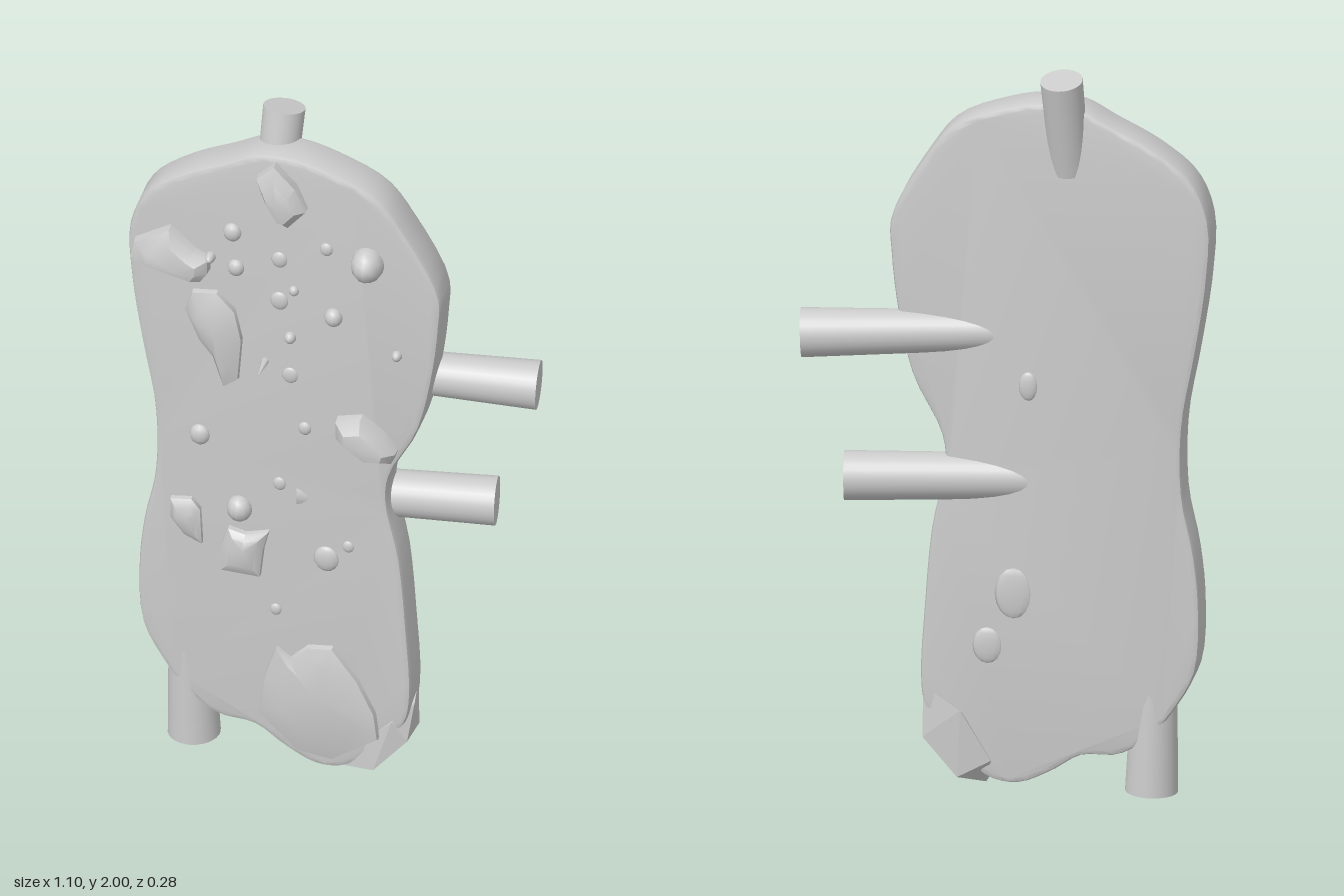
import * as THREE from 'three';
import { toCreasedNormals } from 'three/addons/utils/BufferGeometryUtils.js';
import { ConvexGeometry } from 'three/addons/geometries/ConvexGeometry.js';

const V = (x, y, z) => new THREE.Vector3(x, y, z);
const grey = new THREE.MeshStandardMaterial({ color: 0xcccccc });
// the slab is slightly turned: its faces lean in z along x
const midZ = x => 0.065 * x - 0.005;
const HALF = 0.06;
const frontZ = x => midZ(x) + HALF;

const outline = [
  [-0.2, 1.91], [-0.1, 1.92], [0, 1.9], [0.14, 1.84], [0.22, 1.74], [0.31, 1.57], [0.31, 1.47],
  [0.29, 1.3], [0.25, 1.13], [0.175, 0.98], [0.165, 0.89], [0.2, 0.72], [0.22, 0.5], [0.23, 0.27],
  [0.21, 0.19], [0.13, 0.1], [0.05, 0.03], [-0.03, 0.02], [-0.12, 0.06], [-0.2, 0.11], [-0.3, 0.12],
  [-0.39, 0.18], [-0.46, 0.27], [-0.51, 0.37], [-0.52, 0.55], [-0.505, 0.7], [-0.475, 0.85],
  [-0.475, 1.05], [-0.51, 1.25], [-0.54, 1.45], [-0.545, 1.62], [-0.5, 1.73], [-0.4, 1.81], [-0.28, 1.87],
];

function makeSlab() {
  const curve = new THREE.CatmullRomCurve3(outline.map(([x, y]) => V(x, y, 0)), true);
  const pts = curve.getPoints(120).slice(0, -1).map(p => new THREE.Vector2(p.x, p.y));
  const bevel = 0.014;
  const g = new THREE.ExtrudeGeometry(new THREE.Shape(pts), {
    depth: 2 * (HALF - bevel), bevelThickness: bevel, bevelSize: bevel, bevelOffset: -bevel, bevelSegments: 2,
  });
  g.translate(0, 0, bevel - HALF);
  const p = g.attributes.position;
  for (let i = 0; i < p.count; i++) p.setZ(i, p.getZ(i) + midZ(p.getX(i)));
  return toCreasedNormals(g, 0.6);
}

// round stub between two points
function stub(a, b, r0, r1) {
  const dir = b.clone().sub(a);
  const g = new THREE.CylinderGeometry(r1, r0, dir.length(), 28);
  g.applyQuaternion(new THREE.Quaternion().setFromUnitVectors(V(0, 1, 0), dir.normalize()));
  return g.translate((a.x + b.x) / 2, (a.y + b.y) / 2, (a.z + b.z) / 2);
}

// chip lying on the front: outline ring, shoulder ring and raised peak
function chip(points, h, peakX = 0, peakY = 0) {
  const cx = points.reduce((s, p) => s + p[0], 0) / points.length;
  const cy = points.reduce((s, p) => s + p[1], 0) / points.length;
  const n = points.length, pos = [], index = [];
  [[1, -0.015], [0.96, h * 0.45], [0.62, h * 0.9]].forEach(([k, z]) => points.forEach(([x, y]) => {
    const px = cx + (x - cx) * k + peakX * (1 - k), py = cy + (y - cy) * k + peakY * (1 - k);
    pos.push(px, py, frontZ(px) + z);
  }));
  pos.push(cx + peakX, cy + peakY, frontZ(cx + peakX) + h);
  for (let i = 0; i < n; i++) {
    const j = (i + 1) % n;
    for (const r of [0, n]) index.push(r + i, r + j, r + n + j, r + i, r + n + j, r + n + i);
    index.push(2 * n + i, 2 * n + j, 3 * n);
  }
  const g = new THREE.BufferGeometry();
  g.setAttribute('position', new THREE.Float32BufferAttribute(pos, 3));
  g.setIndex(index);
  return toCreasedNormals(g, 0.7);
}

export function createModel() {
  const model = new THREE.Group();
  const add = (name, geometry) => {
    const m = new THREE.Mesh(geometry, grey);
    m.name = name;
    model.add(m);
    return m;
  };

  add('slab', makeSlab());

  // stubs: two side ones sink at a slant into the back
  add('topStub', stub(V(-0.165, 1.73, -0.03), V(-0.152, 1.995, -0.088), 0.052, 0.056));
  add('upperSideStub', stub(V(-0.06, 1.265, 0.0), V(0.545, 1.245, -0.066), 0.05, 0.066));
  add('lowerSideStub', stub(V(-0.09, 0.86, -0.004), V(0.43, 0.855, -0.071), 0.06, 0.066));
  add('bottomStub', stub(V(-0.39, 0.3, -0.03), V(-0.383, 0.012, -0.035), 0.06, 0.07));

  // broken lump on the lower corner
  add('cornerLump', new ConvexGeometry([
    V(0.04, 0.03, 0.05), V(0.06, 0.005, -0.02), V(0.13, 0.04, 0.07), V(0.13, 0.03, -0.07), V(0.22, 0.14, 0.06),
    V(0.225, 0.13, -0.05), V(0.235, 0.25, 0.04), V(0.225, 0.27, -0.04), V(0.12, 0.22, -0.08), V(0.1, 0.12, 0.06),
    V(0.04, 0.08, -0.07), V(0.18, 0.2, 0.07),
  ]));

  // chips, outlines run counter-clockwise
  add('topChip', chip([[-0.1, 1.72], [-0.05, 1.78], [-0.08, 1.85], [-0.14, 1.91], [-0.19, 1.86], [-0.17, 1.8], [-0.13, 1.73]], 0.055, 0, -0.02));
  add('shoulderChip', chip([[-0.54, 1.54], [-0.34, 1.5], [-0.32, 1.53], [-0.32, 1.57], [-0.36, 1.59], [-0.43, 1.65], [-0.53, 1.59]], 0.06, 0, -0.03));
  add('longChip', chip([[-0.28, 1.17], [-0.24, 1.2], [-0.23, 1.33], [-0.25, 1.42], [-0.3, 1.47], [-0.37, 1.46], [-0.39, 1.4], [-0.35, 1.31], [-0.31, 1.26]], 0.035));
  add('sideChip', chip([[0.12, 1.03], [0.19, 1.04], [0.2, 1.07], [0.16, 1.12], [0.1, 1.16], [0.03, 1.14], [0.03, 1.09]], 0.075));
  add('wedgeChip', chip([[-0.34, 0.66], [-0.345, 0.77], [-0.37, 0.8], [-0.43, 0.79], [-0.43, 0.73], [-0.39, 0.68]], 0.03));
  add('squareChip', chip([[-0.29, 0.59], [-0.18, 0.59], [-0.17, 0.68], [-0.155, 0.74], [-0.22, 0.72], [-0.27, 0.73], [-0.29, 0.67]], 0.035));
  add('footPatch', chip([[-0.19, 0.16], [-0.08, 0.06], [0.02, 0.05], [0.15, 0.14], [0.14, 0.22], [0.09, 0.32], [0.02, 0.41], [-0.05, 0.4], [-0.1, 0.35], [-0.14, 0.38], [-0.17, 0.29]], 0.036));

  // pebbles and faint bumps: x, y, radius, height
  const pebbles = [
    [0.115, 1.64, 0.045, 0.06], [0.02, 1.45, 0.025, 0.025], [-0.26, 1.66, 0.025, 0.018], [-0.25, 1.55, 0.023, 0.018],
    [0.195, 1.365, 0.014, 0.02], [-0.1, 1.36, 0.016, 0.02], [-0.35, 1.0, 0.028, 0.018], [-0.24, 0.79, 0.035, 0.035],
    [0, 0.68, 0.035, 0.014], [0.06, 0.73, 0.016, 0.008], [-0.06, 1.08, 0.018, 0.01], [-0.13, 1.6, 0.022, 0.01],
    [-0.13, 1.47, 0.025, 0.01], [-0.09, 1.51, 0.014, 0.014], [0, 1.66, 0.018, 0.01], [-0.1, 1.24, 0.022, 0.008],
    [-0.32, 1.57, 0.014, 0.03], [-0.13, 0.89, 0.018, 0.008], [-0.14, 0.49, 0.016, 0.008],
  ];
  pebbles.forEach(([x, y, r, h]) => {
    const m = add('pebble', new THREE.SphereGeometry(1, 12, 8));
    m.position.set(x, y, frontZ(x));
    m.scale.set(r, r * 1.1, h);
  });

  // thin spike
  const spike = new THREE.ConeGeometry(0.013, 0.09, 8);
  spike.rotateX(Math.PI / 2);
  add('spike', spike).position.set(-0.17, 1.27, 0.075);

  // shallow bumps on the back
  [[-0.06, 1.13, 0.025, 0.04], [-0.02, 0.55, 0.05, 0.07], [0.05, 0.4, 0.04, 0.05]].forEach(([x, y, rx, ry]) => {
    const m = add('backBump', new THREE.SphereGeometry(1, 12, 8));
    m.position.set(x, y, midZ(x) - HALF);
    m.scale.set(rx, ry, 0.01);
  });
  return model;
}
